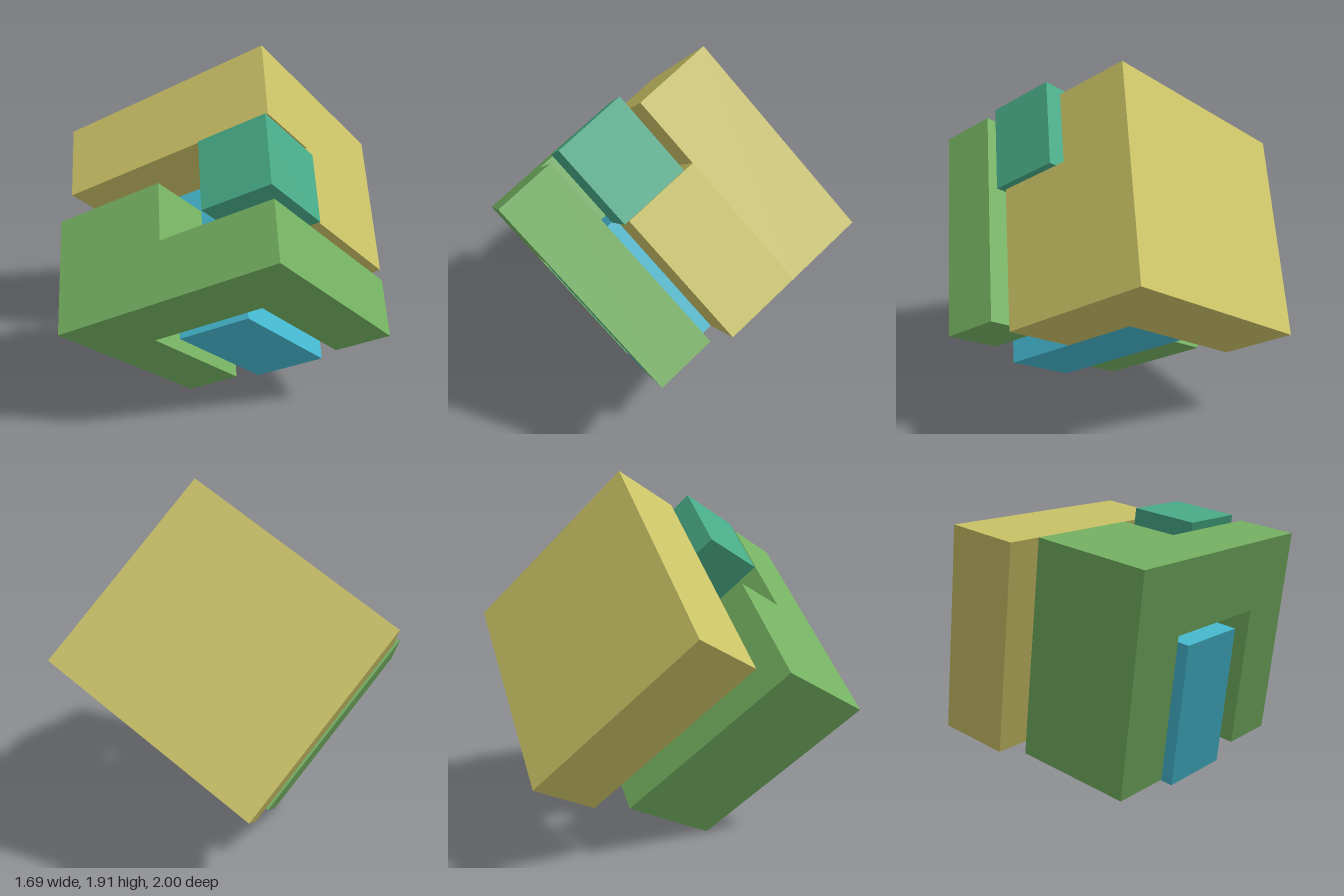
import * as THREE from 'three';

const mat = (name, color) => {
  const m = new THREE.MeshStandardMaterial({ color });
  m.name = name;
  return m;
};

export function createModel() {
  const yellow = mat('yellow', 0xcac266);
  const green = mat('green', 0x75b162);
  const teal = mat('teal', 0x48ab88);
  const blue = mat('blue', 0x45b8cf);

  const model = new THREE.Group();
  model.name = 'interlockingBlocks';

  // Tilted frame: a = length, c = height, b = depth (runs along local -z)
  const s = Math.SQRT1_2;
  const frame = new THREE.Group();
  frame.name = 'tiltedAssembly';
  frame.quaternion.setFromRotationMatrix(new THREE.Matrix4().makeBasis(
    new THREE.Vector3(s, 0.5, -0.5),
    new THREE.Vector3(0, s, s),
    new THREE.Vector3(s, -0.5, 0.5)
  ));
  frame.position.set(-0.011, 0, 0.235);
  model.add(frame);

  const piece = (name) => {
    const g = new THREE.Group();
    g.name = name;
    frame.add(g);
    return g;
  };
  const add = (parent, name, geometry, material) => {
    const mesh = new THREE.Mesh(geometry, material);
    mesh.name = name;
    parent.add(mesh);
  };
  // Box spanning [min, max] along a, b and c
  const block = (parent, name, material, [a0, a1], [b0, b1], [c0, c1]) => {
    const g = new THREE.BoxGeometry(a1 - a0, c1 - c0, b1 - b0);
    g.translate((a0 + a1) / 2, (c0 + c1) / 2, -(b0 + b1) / 2);
    add(parent, name, g, material);
  };
  // Profile in (a, c) extruded from depth b0 to b1
  const prism = (parent, name, material, points, b0, b1) => {
    const shape = new THREE.Shape(points.map(([a, c]) => new THREE.Vector2(a, c)));
    const g = new THREE.ExtrudeGeometry(shape, { depth: b1 - b0, bevelEnabled: false });
    g.translate(0, 0, -b1);
    add(parent, name, g, material);
  };

  // Green piece: arch in front, hook-shaped half behind it
  const u = 0.304, top = 1.085, arch = 0.728;
  const greenPiece = piece('archPiece');
  prism(greenPiece, 'frontArch', green, [
    [0, 0], [u, 0], [u, arch], [3 * u, arch], [3 * u, 0], [4 * u, 0], [4 * u, top], [0, top]
  ], 0, u);
  prism(greenPiece, 'rearHook', green, [
    [0, 0], [u, 0], [u, arch], [2 * u, arch], [2 * u, top], [0, top]
  ], u, 2 * u);

  // Yellow piece: back slab with a block standing out at its far end
  const yellowPiece = piece('slabPiece');
  block(yellowPiece, 'backSlab', yellow, [0.005, 1.188], [0.79, 1.184], [-0.068, 1.018]);
  block(yellowPiece, 'endBlock', yellow, [0.794, 1.188], [0.396, 0.79], [-0.068, 0.656]);

  // Blue bar passing through the arch to the slab
  block(piece('barPiece'), 'throughBar', blue, [0.4, 0.794], [0.003, 0.79], [-0.068, 0.658]);

  // Teal block resting in the notch
  block(piece('notchPiece'), 'notchBlock', teal, [0.854, 1.219], [0.367, 0.732], [0.662, 1.102]);

  return model;
}
